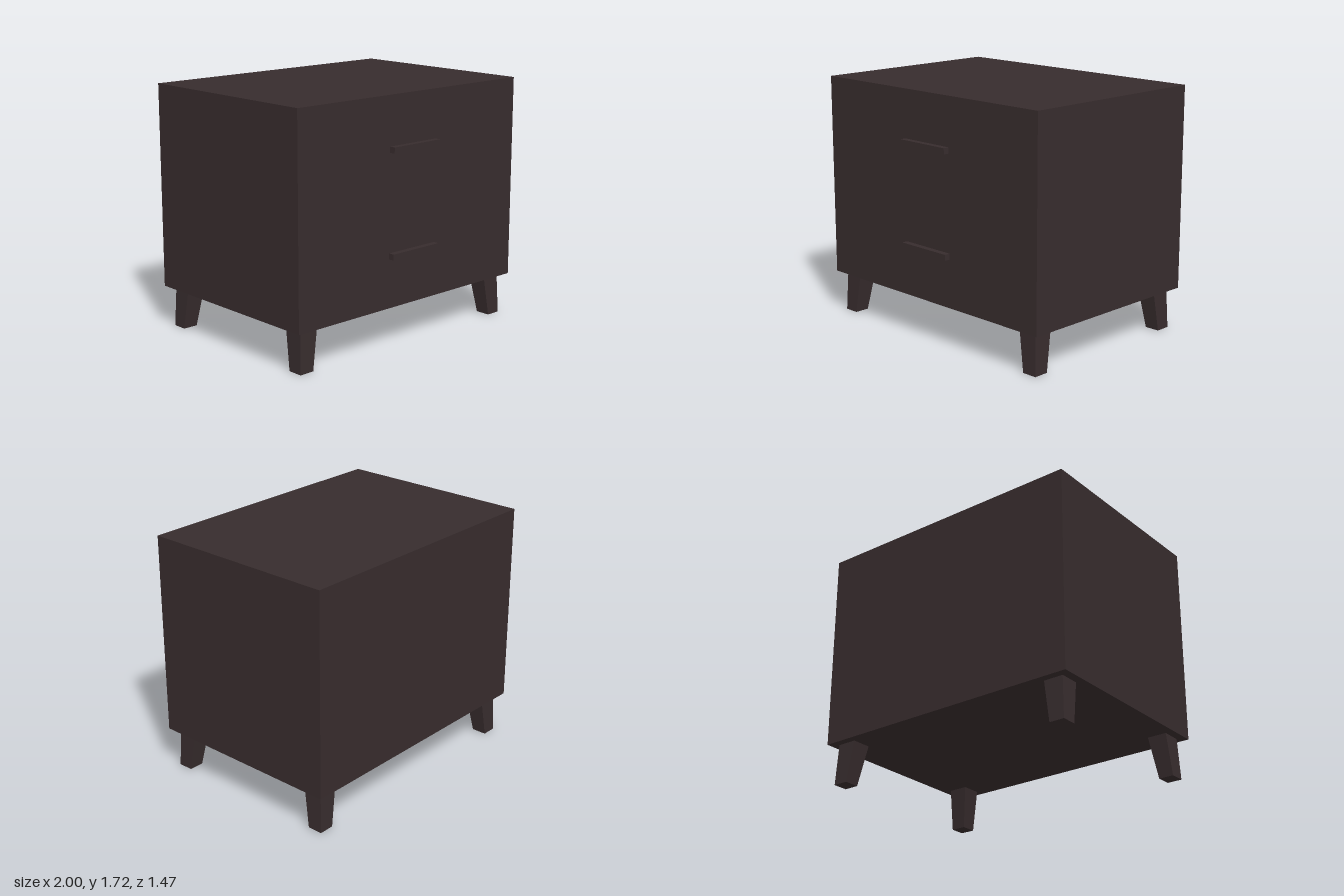
import * as THREE from 'three';

const BODY = { bottom: 0.29, top: 1.715, front: 0.695, back: -0.735 };
const MID_Z = (BODY.front + BODY.back) / 2;

// Box given by its min and max corners
function box(name, material, [x0, y0, z0], [x1, y1, z1]) {
  const mesh = new THREE.Mesh(new THREE.BoxGeometry(x1 - x0, y1 - y0, z1 - z0), material);
  mesh.position.set((x0 + x1) / 2, (y0 + y1) / 2, (z0 + z1) / 2);
  mesh.name = name;
  return mesh;
}

// Splayed, tapered leg; sx and sz choose the corner
function leg(name, material, sx, sz) {
  const geometry = new THREE.BoxGeometry(1, 1, 1);
  const p = geometry.attributes.position;
  const span = (isTop, isOuter) => (isTop ? [0.8, 0.94] : [0.845, 0.952])[isOuter ? 1 : 0];
  const inset = 0.28; // how much nearer the centre the legs stand in depth
  for (let i = 0; i < p.count; i++) {
    const isTop = p.getY(i) > 0;
    const x = sx * span(isTop, p.getX(i) * sx > 0);
    const z = MID_Z + sz * (span(isTop, p.getZ(i) * sz > 0) - inset);
    p.setXYZ(i, x, isTop ? BODY.bottom : 0, z);
  }
  const flat = geometry.toNonIndexed();
  flat.computeVertexNormals();
  const mesh = new THREE.Mesh(flat, material);
  mesh.name = name;
  return mesh;
}

export function createModel() {
  const darkWood = new THREE.MeshStandardMaterial({ color: 0x372c2d });
  darkWood.name = 'darkWood';

  const model = new THREE.Group();
  model.name = 'nightstand';

  // Cabinet
  model.add(box('cabinet', darkWood, [-1, BODY.bottom, BODY.back], [1, BODY.top, BODY.front]));

  // Drawer handles
  for (const [name, y] of [['lowerHandle', 0.627], ['upperHandle', 1.338]]) {
    model.add(box(name, darkWood, [-0.214, y, BODY.front], [0.211, y + 0.041, 0.737]));
  }

  // Legs
  for (const [zName, sz] of [['front', 1], ['back', -1]]) {
    for (const [xName, sx] of [['Left', 1], ['Right', -1]]) {
      model.add(leg(`${zName}${xName}Leg`, darkWood, sx, sz));
    }
  }
  return model;
}
